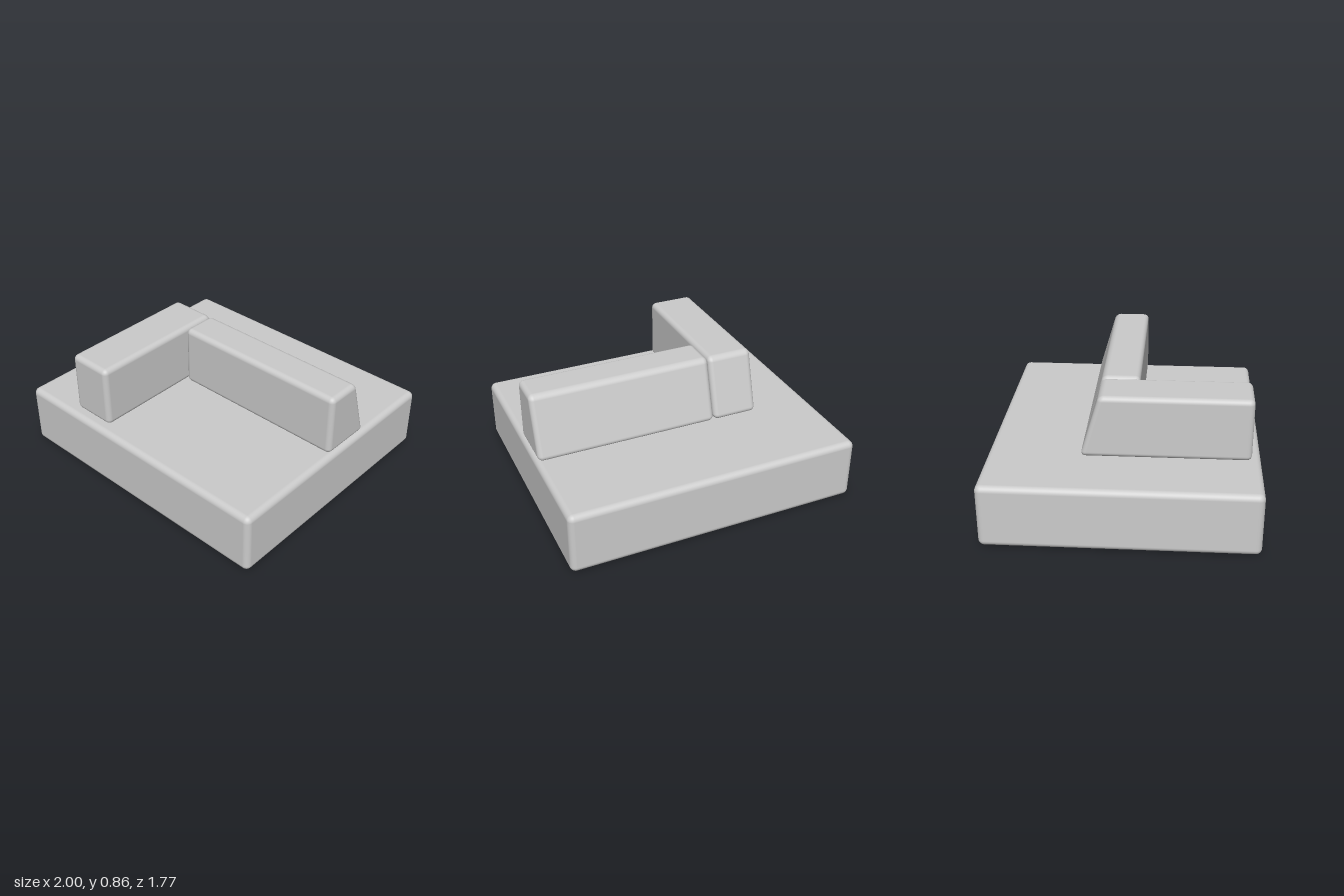
import * as THREE from 'three';
import { RoundedBoxGeometry } from 'three/addons/geometries/RoundedBoxGeometry.js';

const material = new THREE.MeshStandardMaterial({ color: 0xcccccc });

// Rounded block between two corners; its back face leans forward by `lean` from bottom to top.
function block(name, [x0, y0, z0], [x1, y1, z1], radius, lean = 0) {
  const h = y1 - y0;
  const geometry = new RoundedBoxGeometry(x1 - x0, h, z1 - z0, 5, radius);
  const pos = geometry.attributes.position;
  const nor = geometry.attributes.normal;
  const slope = lean / h;
  const n = new THREE.Vector3();
  for (let i = 0; lean && i < pos.count; i++) {
    if (pos.getZ(i) > 0) continue;
    // shear the back half, and its normals to match
    pos.setZ(i, pos.getZ(i) + slope * (pos.getY(i) + h / 2));
    n.fromBufferAttribute(nor, i);
    n.y -= slope * n.z;
    n.normalize();
    nor.setXYZ(i, n.x, n.y, n.z);
  }
  const mesh = new THREE.Mesh(geometry, material);
  mesh.name = name;
  mesh.position.set((x0 + x1) / 2, (y0 + y1) / 2, (z0 + z1) / 2);
  return mesh;
}

export function createModel() {
  const group = new THREE.Group();
  group.name = 'cornerSofa';
  group.add(
    // broad seat
    block('seat', [-1, 0, -0.885], [1, 0.427, 0.885], 0.04),
    // backrest and side arm with sloping backs
    block('backrest', [-0.265, 0.433, -0.28], [0.985, 0.857, 0.093], 0.035, 0.125),
    block('sideArm', [-0.585, 0.433, -0.28], [-0.268, 0.857, 0.822], 0.035, 0.125),
  );
  return group;
}
